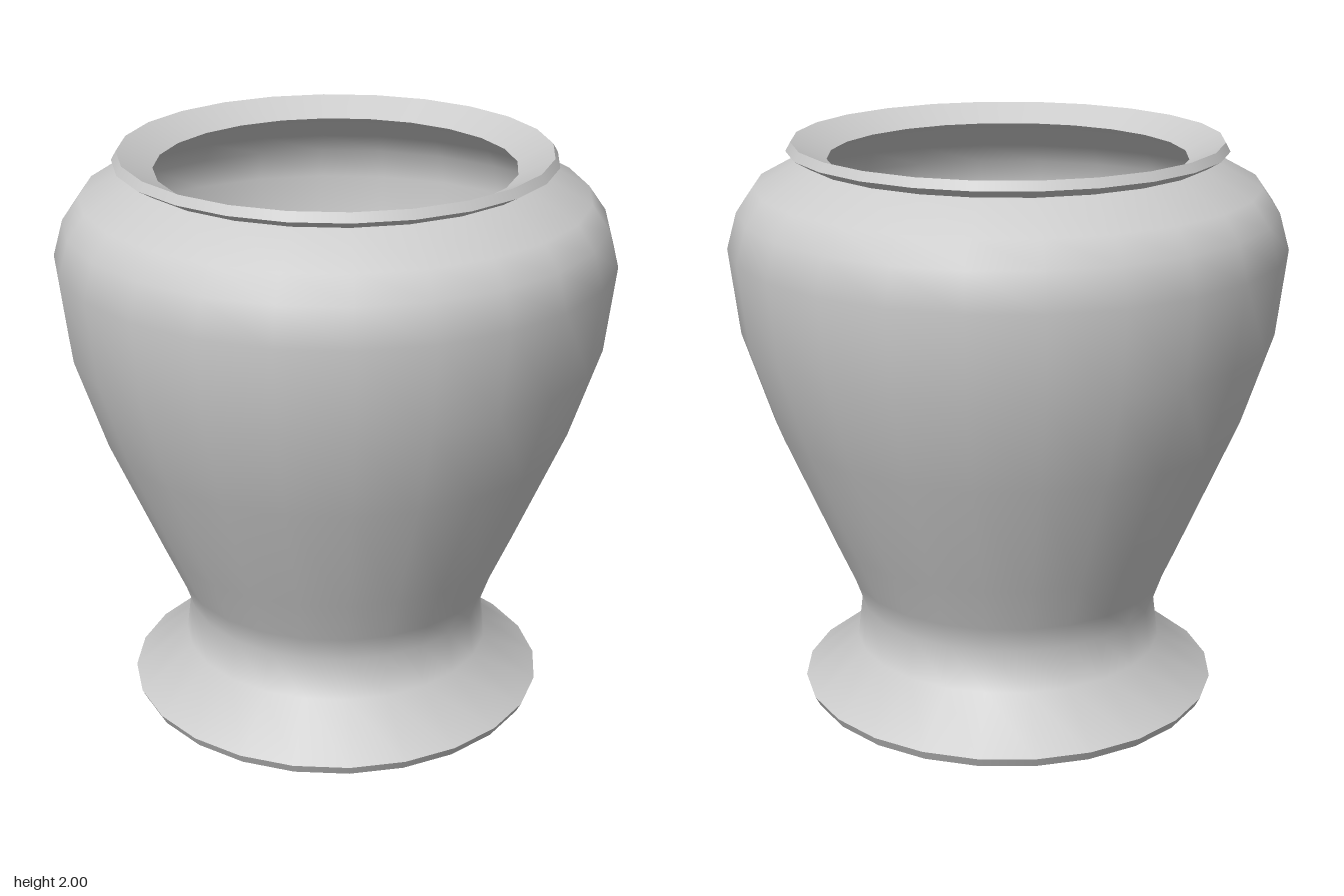
import * as THREE from 'three';

const SIDES = 24;

export function createModel() {
  const vase = new THREE.Group();
  vase.name = 'vase';
  const material = new THREE.MeshStandardMaterial({ color: 0xcccccc });

  // Each section is a smooth [radius, height] profile; creases fall between sections.
  function turned(name, profile) {
    const points = profile.map(([r, y]) => new THREE.Vector2(r, y));
    const mesh = new THREE.Mesh(new THREE.LatheGeometry(points, SIDES), material);
    mesh.name = name;
    vase.add(mesh);
  }

  // Outside, from the foot upwards
  turned('footEdge', [[0.725, 0], [0.743, 0.035]]);
  turned('outerBody', [
    [0.743, 0.035], [0.55, 0.185], [0.532, 0.335], [0.565, 0.43], [0.64, 0.6],
    [0.82, 1.02], [0.925, 1.34], [0.96, 1.64], [0.925, 1.765], [0.865, 1.85], [0.7, 1.94],
  ]);
  turned('rimUnderside', [[0.7, 1.94], [0.752, 1.97]]);
  turned('rimEdge', [[0.752, 1.97], [0.735, 2]]);

  // Sloping lip leading into the mouth
  turned('lip', [[0.735, 2], [0.615, 1.94]]);

  // Inside wall, from the mouth down through the open base
  turned('innerBody', [
    [0.615, 1.94], [0.84, 1.815], [0.89, 1.745], [0.92, 1.635], [0.885, 1.35],
    [0.78, 1.035], [0.6, 0.615], [0.527, 0.445], [0.49, 0.335], [0.51, 0.165], [0.725, 0],
  ]);

  return vase;
}
